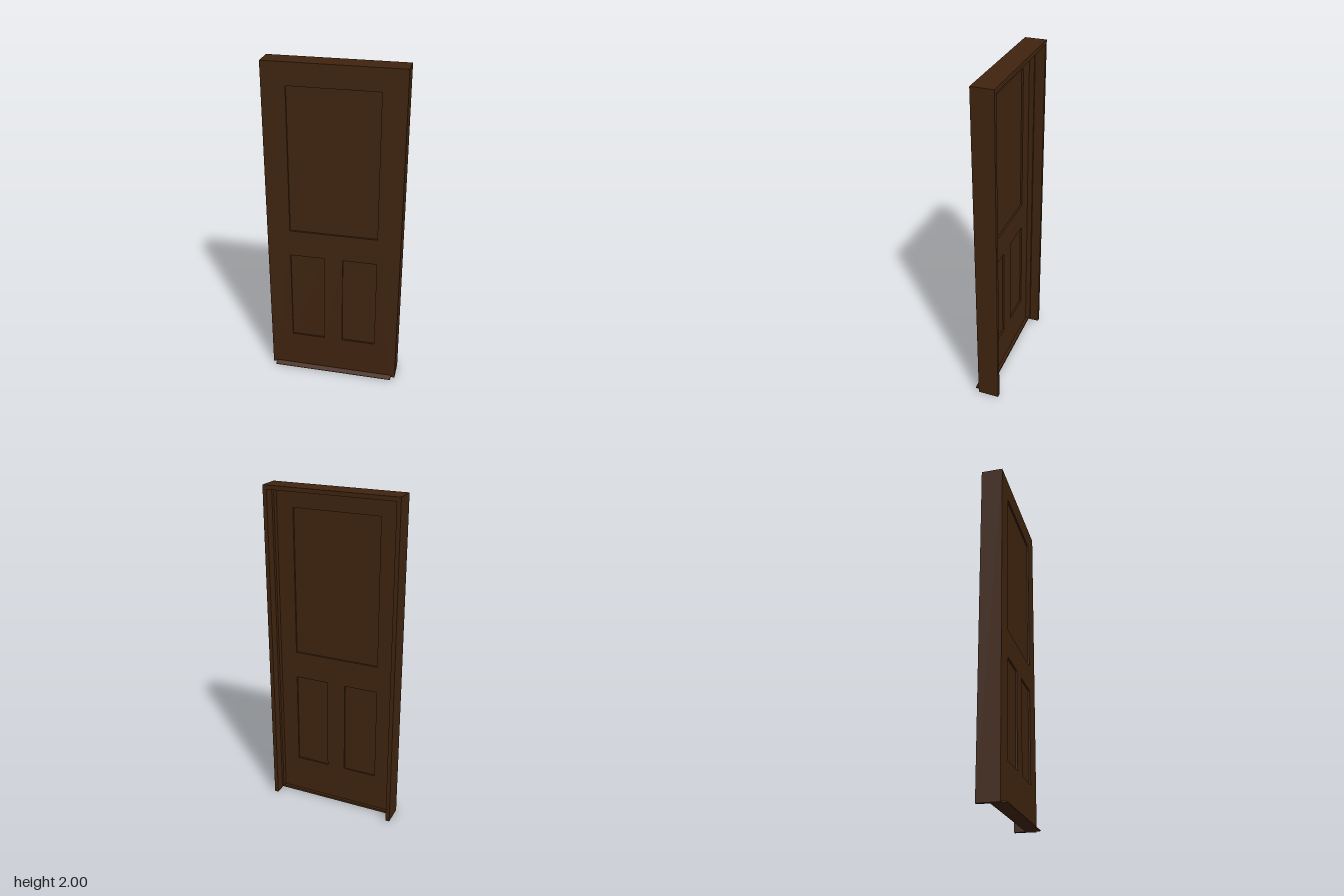
import * as THREE from 'three';

const HALF = 0.4, HEIGHT = 2, DEPTH = 0.128, JAMB = 0.024;
const FRONT = DEPTH / 2;
const DOOR_BACK = FRONT - 0.04;
const SILL_TOP = 0.014;

export function createModel() {
  const model = new THREE.Group();
  model.name = 'doorway';
  const wood = new THREE.MeshStandardMaterial({ color: 0x40240f });
  wood.name = 'dark brown wood';

  // The whole unit stands turned about the vertical axis
  const unit = new THREE.Group();
  unit.name = 'doorUnit';
  unit.rotation.y = Math.PI / 8;
  unit.position.set(-0.001, 0, -0.011);
  model.add(unit);

  function add(name, geometry) {
    const mesh = new THREE.Mesh(geometry, wood);
    mesh.name = name;
    unit.add(mesh);
    return mesh;
  }

  const extrude = (shape, depth) =>
    new THREE.ExtrudeGeometry(shape, { depth, bevelEnabled: false });

  // Arch of two uprights and a head, open at the bottom
  function archShape(half, top, width, bottom) {
    return new THREE.Shape([
      [-half, bottom], [-half + width, bottom], [-half + width, top - width],
      [half - width, top - width], [half - width, bottom], [half, bottom],
      [half, top], [-half, top],
    ].map(([x, y]) => new THREE.Vector2(x, y)));
  }

  // Outer frame
  add('frame', extrude(archShape(HALF, HEIGHT, JAMB, 0), DEPTH)).position.z = -FRONT;

  // Stop strip behind the door
  add('doorStop', extrude(archShape(HALF - JAMB, HEIGHT - JAMB, 0.012, SILL_TOP), 0.03))
    .position.z = DOOR_BACK - 0.03;

  // Door leaf with panel openings
  const doorHalf = HALF - JAMB;
  const rect = (x0, x1, y0, y1, Type) => new Type([
    new THREE.Vector2(x0, y0), new THREE.Vector2(x1, y0),
    new THREE.Vector2(x1, y1), new THREE.Vector2(x0, y1),
  ]);
  const panels = [
    ['upperPanel', -0.262, 0.262, 0.99, 1.87],
    ['lowerRightPanel', -0.262, -0.057, 0.243, 0.825],
    ['lowerLeftPanel', 0.057, 0.262, 0.243, 0.825],
  ];
  const leaf = rect(-doorHalf, doorHalf, SILL_TOP, HEIGHT - JAMB, THREE.Shape);
  for (const [, ...r] of panels) leaf.holes.push(rect(...r, THREE.Path));
  add('doorLeaf', extrude(leaf, 0.04)).position.z = DOOR_BACK;

  // Recessed panels
  for (const [name, x0, x1, y0, y1] of panels) {
    add(name, new THREE.BoxGeometry(x1 - x0, y1 - y0, 0.02))
      .position.set((x0 + x1) / 2, (y0 + y1) / 2, DOOR_BACK + 0.02);
  }

  // Sill, sloping down in front of the door
  const sill = new THREE.Shape([
    [0.006, 0], [0.095, 0], [0.095, 0.003], [0.07, SILL_TOP], [0.006, SILL_TOP],
  ].map(([z, y]) => new THREE.Vector2(z, y)));
  const sillMesh = add('sill', extrude(sill, doorHalf * 2));
  sillMesh.rotation.y = -Math.PI / 2;
  sillMesh.position.x = doorHalf;

  return model;
}
